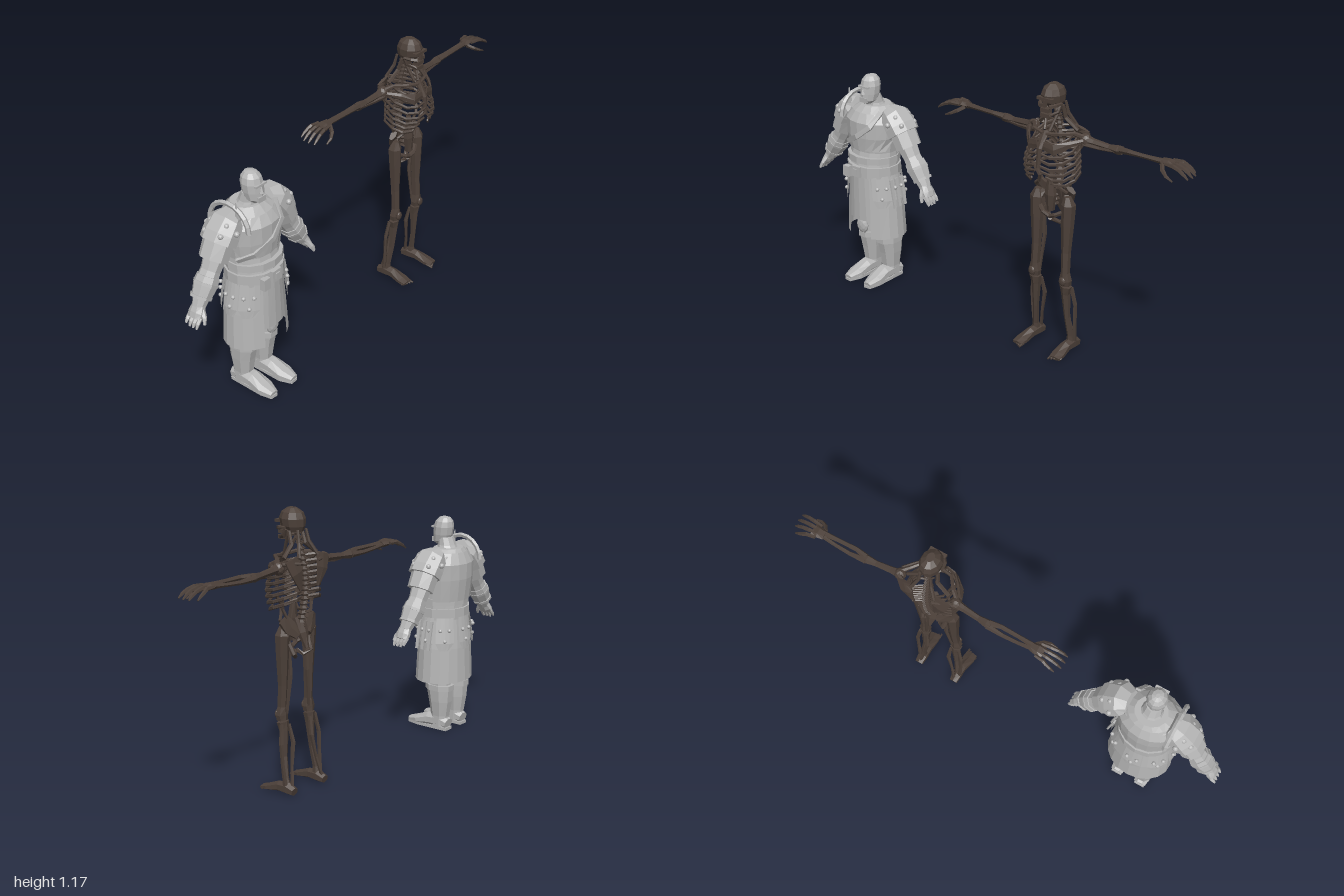
import * as THREE from 'three';

const steel = new THREE.MeshStandardMaterial({ color: 0xb6b6b6, side: THREE.DoubleSide });
steel.name = 'grey armour';
const bone = new THREE.MeshStandardMaterial({ color: 0x4c4039, side: THREE.DoubleSide });
bone.name = 'dark bone';

const UP = new THREE.Vector3(0, 1, 0), FRONT = new THREE.Vector3(0, 0, 1);

// Faceted skin over sections [x, y, z, radiusA, radiusB, inset degrees]; from/to leave it open
function sweep(secs, { n = 8, axis, ref = FRONT, from = 0, to = 360 } = {}) {
  const closed = to - from === 360, pos = [];
  const centres = secs.map(s => new THREE.Vector3(s[0], s[1], s[2]));
  const rings = secs.map((s, i) => {
    const t = axis || centres[Math.min(i + 1, secs.length - 1)].clone().sub(centres[Math.max(i - 1, 0)]).normalize();
    const b = ref.clone().addScaledVector(t, -ref.dot(t)).normalize();
    const a = b.clone().cross(t), inset = s[5] || 0, ring = [];
    for (let j = 0; j <= n; j++) {
      const deg = closed ? (j + 0.5) * 360 / n : from + inset + (to - from - 2 * inset) * j / n;
      const r = THREE.MathUtils.degToRad(deg);
      ring.push(centres[i].clone().addScaledVector(a, Math.cos(r) * s[3]).addScaledVector(b, Math.sin(r) * (s[4] ?? s[3])));
    }
    return ring;
  });
  const tri = (...v) => v.forEach(p => pos.push(p.x, p.y, p.z));
  const last = rings.length - 1;
  for (let j = 0; j < n; j++) {
    for (let i = 0; i < last; i++) {
      const [p, q] = [rings[i], rings[i + 1]];
      tri(p[j], p[j + 1], q[j + 1]);
      tri(p[j], q[j + 1], q[j]);
    }
    if (closed) {
      tri(centres[0], rings[0][j + 1], rings[0][j]);
      tri(centres[last], rings[last][j], rings[last][j + 1]);
    }
  }
  const g = new THREE.BufferGeometry();
  g.setAttribute('position', new THREE.Float32BufferAttribute(pos, 3));
  g.computeVertexNormals();
  return g;
}

// Part-adding helpers for one figure
function kit(group, material) {
  const add = (name, geo, x = 0, y = 0, z = 0) => {
    if (geo.index) geo = geo.toNonIndexed();
    geo.computeVertexNormals();
    const m = new THREE.Mesh(geo, material);
    m.name = name;
    m.position.set(x, y, z);
    group.add(m);
    return m;
  };
  return {
    add,
    limb: (name, secs, opt) => add(name, sweep(secs, opt)),
    // upright part, sections [y, z, radiusX, radiusZ, inset]
    tower: (name, rows, opt, x = 0) =>
      add(name, sweep(rows.map(([y, z, a, b, e]) => [x, y, z, a, b, e]), { axis: UP, ...opt })),
    ball: (name, x, y, z, rx, ry = rx, rz = rx) =>
      add(name, new THREE.IcosahedronGeometry(1, 1).scale(rx, ry, rz), x, y, z),
    box: (name, w, h, d, x, y, z) => add(name, new THREE.BoxGeometry(w, h, d), x, y, z),
  };
}
const flip = (s, pts) => pts.map(p => [p[0] * s, ...p.slice(1)]);

function createWarrior() {
  const group = new THREE.Group();
  group.name = 'armouredWarrior';
  const { add, limb, tower, ball, box } = kit(group, steel);

  // Head and torso
  tower('head', [[0.865, 0.02, 0.02, 0.025], [0.88, 0.015, 0.036, 0.04], [0.91, 0.008, 0.042, 0.046], [0.945, 0.004, 0.044, 0.047],
    [0.97, 0.002, 0.038, 0.042], [0.987, 0, 0.024, 0.028], [0.992, 0, 0.008, 0.01]], { n: 10 });
  tower('neck', [[0.83, -0.025, 0.06, 0.055], [0.865, -0.015, 0.042, 0.042], [0.9, -0.005, 0.036, 0.036]], { n: 10 });
  box('brow', 0.06, 0.008, 0.012, 0, 0.943, 0.048);
  add('nose', new THREE.ConeGeometry(0.011, 0.032, 4), 0, 0.925, 0.053);
  box('beard', 0.04, 0.022, 0.014, 0, 0.884, 0.05);
  tower('torso', [[0.46, -0.01, 0.12, 0.1], [0.58, -0.005, 0.12, 0.103], [0.65, -0.01, 0.118, 0.095], [0.72, -0.012, 0.128, 0.104],
    [0.78, -0.013, 0.136, 0.107], [0.825, -0.02, 0.115, 0.09], [0.855, -0.025, 0.07, 0.065]], { n: 14 });
  tower('breastplate', [[0.66, -0.012, 0.125, 0.104, 22], [0.72, -0.012, 0.134, 0.111], [0.79, -0.013, 0.138, 0.112], [0.83, -0.02, 0.115, 0.094, 12]],
    { n: 8, from: 5, to: 175 });
  tower('backplate', [[0.62, -0.012, 0.127, 0.104], [0.72, -0.014, 0.134, 0.113], [0.79, -0.015, 0.138, 0.112], [0.84, -0.022, 0.1, 0.084]],
    { n: 8, from: 190, to: 350 });
  const strap = [[0.09, 0.84, 0.035, 0.016, 0.007], [0.07, 0.78, 0.088, 0.016, 0.007], [0, 0.725, 0.103, 0.016, 0.007],
    [-0.08, 0.68, 0.078, 0.016, 0.007], [-0.12, 0.65, 0.02, 0.016, 0.007]];
  limb('chestStrap', strap, { n: 4 });
  for (const [y, h, r] of [[0.535, 0.05, 0.128], [0.6, 0.03, 0.125]])
    tower('belt', [[y, -0.003, r, r - 0.014], [y + h, -0.003, r, r - 0.014]], { n: 14 });
  box('buckle', 0.05, 0.05, 0.012, 0, 0.562, 0.112);
  box('buckleTongue', 0.022, 0.026, 0.01, 0, 0.562, 0.118);

  // Skirt, front cloth and riveted hip plates
  tower('skirt', [[0.24, -0.01, 0.147, 0.121], [0.4, -0.01, 0.138, 0.114], [0.55, -0.005, 0.122, 0.105]], { n: 16, from: 116, to: 424 });
  tower('frontCloth', [[0.32, -0.01, 0.14, 0.112], [0.55, -0.005, 0.12, 0.106]], { n: 4, from: 58, to: 122 });
  for (const a of [38, 142, 180, 360, 222, 270, 318]) {
    const wide = a % 90 ? 19 : 17;
    tower('hipPlate', [[0.395, -0.01, 0.147, 0.122, 8], [0.43, -0.01, 0.147, 0.122], [0.545, -0.005, 0.128, 0.112]],
      { n: 4, from: a - wide, to: a + wide });
    for (const [d, y] of [[-9, 0.49], [9, 0.49], [0, 0.44]]) {
      const t = THREE.MathUtils.degToRad(a + d);
      ball('hipRivet', -Math.cos(t) * 0.145, y, -0.008 + Math.sin(t) * 0.122, 0.009);
    }
  }
  box('pouch', 0.035, 0.05, 0.025, -0.06, 0.55, 0.108);
  for (const z of [-0.035, 0, 0.03]) limb('hangingStrip', [[0.135, 0.53, z, 0.006, 0.011], [0.158, 0.4, z, 0.005, 0.01]], { n: 4 });

  // Raised guard on the right shoulder
  const guard = add('shoulderGuard', new THREE.TorusGeometry(0.1, 0.011, 5, 10, Math.PI), -0.112, 0.79, -0.018);
  guard.rotation.y = Math.PI / 2;
  limb('guardSpike', [[-0.11, 0.84, 0.03, 0.012], [-0.116, 0.91, 0.025, 0.002]], { n: 4 });

  for (const s of [1, -1]) {
    // Arm, shoulder plates, bracer and hand
    limb('arm', flip(s, [[0.1, 0.82, -0.02, 0.058], [0.155, 0.76, -0.02, 0.055], [0.195, 0.695, -0.02, 0.047], [0.223, 0.648, -0.02, 0.041],
      [0.25, 0.61, -0.02, 0.044], [0.285, 0.555, -0.018, 0.034], [0.305, 0.525, -0.015, 0.027]]));
    limb('shoulderPlate', flip(s, [[0.09, 0.835, -0.02, 0.035, 0.05], [0.122, 0.82, -0.02, 0.058, 0.074], [0.155, 0.78, -0.02, 0.066, 0.079], [0.175, 0.75, -0.02, 0.068, 0.078]]));
    limb('upperArmPlate', flip(s, [[0.165, 0.765, -0.02, 0.056, 0.066], [0.205, 0.69, -0.02, 0.056, 0.062]]));
    for (const [x, y, z] of [[0.165, 0.83, 0.02], [0.2, 0.8, 0.02], [0.165, 0.83, -0.06], [0.2, 0.8, -0.06], [0.15, 0.8, 0.056], [0.15, 0.8, -0.096]])
      ball('shoulderRivet', x * s, y, z, 0.012);
    limb('bracer', flip(s, [[0.237, 0.63, -0.02, 0.047], [0.255, 0.602, -0.02, 0.05], [0.284, 0.557, -0.018, 0.04]]));
    for (const k of [0.2, 0.8]) {
      const x = 0.24 + 0.05 * k, y = 0.625 - 0.075 * k;
      limb('bracerStrap', flip(s, [[x, y, -0.02, 0.054 - 0.01 * k], [x + 0.006, y - 0.01, -0.02, 0.053 - 0.01 * k]]));
    }
    limb('palm', flip(s, [[0.3, 0.535, -0.015, 0.024, 0.028], [0.318, 0.507, -0.015, 0.022, 0.036], [0.332, 0.488, -0.015, 0.014, 0.034]]));
    for (let i = 0; i < 4; i++) {
      const z = -0.042 + i * 0.018, d = i === 0 ? 0.008 : 0;
      limb('finger', flip(s, [[0.325, 0.495, z, 0.01], [0.341, 0.475 + d / 2, z, 0.009], [0.35, 0.457 + d, z, 0.005]]), { n: 5 });
    }
    limb('thumb', flip(s, [[0.306, 0.52, 0.005, 0.012], [0.316, 0.495, 0.025, 0.01], [0.325, 0.472, 0.032, 0.006]]), { n: 5 });

    // Leg, boot and cuffs
    const x = 0.058 * s;
    tower('leg', [[0.19, -0.03, 0.045, 0.058], [0.28, -0.025, 0.046, 0.055], [0.36, -0.02, 0.052, 0.065], [0.5, -0.01, 0.056, 0.075]], {}, x);
    tower('boot', [[0.02, -0.035, 0.036, 0.044], [0.07, -0.035, 0.036, 0.046], [0.14, -0.035, 0.045, 0.058], [0.21, -0.03, 0.05, 0.068]], {}, x);
    tower('bootCuff', [[0.195, -0.03, 0.054, 0.072], [0.22, -0.03, 0.054, 0.072]], {}, x);
    tower('kneeStrap', [[0.262, -0.027, 0.051, 0.062], [0.285, -0.026, 0.051, 0.062]], {}, x);
    ball('kneePad', x, 0.255, 0.03, 0.034, 0.042, 0.016);
    limb('foot', [[x, 0.035, -0.083, 0.03, 0.025], [x, 0.045, -0.04, 0.036, 0.037], [x, 0.042, 0.02, 0.038, 0.034],
      [x * 1.05, 0.029, 0.08, 0.041, 0.02], [x * 1.08, 0.02, 0.132, 0.022, 0.012]], { ref: UP });
    limb('sole', [[x, 0.01, -0.085, 0.034, 0.01], [x, 0.01, 0.08, 0.043, 0.01], [x * 1.08, 0.01, 0.135, 0.024, 0.009]], { ref: UP, n: 4 });
  }
  return group;
}

function createSkeleton() {
  const group = new THREE.Group();
  group.name = 'skeleton';
  const { limb, tower, ball, box } = kit(group, bone);

  // Skull and jaw
  tower('cranium', [[1.078, -0.012, 0.03, 0.036], [1.1, -0.004, 0.043, 0.054], [1.13, -0.001, 0.047, 0.058], [1.155, -0.001, 0.038, 0.048], [1.172, 0, 0.016, 0.022]], { n: 10 });
  box('brow', 0.076, 0.012, 0.02, 0, 1.118, 0.05);
  box('noseBone', 0.012, 0.028, 0.014, 0, 1.1, 0.055);
  box('upperTeeth', 0.04, 0.016, 0.026, 0, 1.073, 0.046);
  box('chin', 0.042, 0.016, 0.028, 0, 1.051, 0.044);

  // Spine, sacrum and breastbone
  for (let i = 0; i < 22; i++) {
    const y = 1.085 - i * 0.02, z = -0.02 - 0.045 * Math.sin(Math.PI * i / 21), r = 0.013 + i * 0.0004;
    tower('vertebra', [[y - 0.011, z, r, r], [y, z, r * 0.75, r * 0.75], [y + 0.008, z, r, r]], { n: 6 });
    limb('spinousProcess', [[0, y, z, 0.005], [0, y - 0.008, z - 0.028, 0.003]], { n: 4 });
  }
  limb('sacrum', [[0, 0.73, -0.025, 0.034, 0.02], [0, 0.67, -0.05, 0.028, 0.018], [0, 0.61, -0.07, 0.008, 0.008]], { n: 6 });
  limb('abdominalRemnant', [[0, 0.8, 0.0, 0.012], [0, 0.7, 0.005, 0.028, 0.018], [0, 0.63, 0, 0.016]], { n: 6 });
  limb('breastbone', [[0, 0.985, 0.045, 0.022, 0.008], [0, 0.92, 0.082, 0.014, 0.008], [0, 0.84, 0.09, 0.01, 0.006]], { n: 6 });

  for (const s of [1, -1]) {
    const part = (name, pts, opt = { n: 6 }) => limb(name, flip(s, pts), opt);
    part('cheekbone', [[0.044, 1.095, 0, 0.006], [0.04, 1.094, 0.035, 0.008], [0.022, 1.088, 0.053, 0.01]], { n: 5, ref: UP });
    part('jaw', [[0.04, 1.09, 0.002, 0.006, 0.01], [0.036, 1.062, 0.014, 0.006, 0.011], [0.016, 1.05, 0.05, 0.007, 0.009]], { n: 5 });
    // Neck cords
    part('neckCord', [[0.036, 1.085, -0.015, 0.008], [0.04, 1.03, -0.03, 0.01], [0.095, 0.985, -0.04, 0.009]]);
    part('frontNeckCord', [[0.034, 1.085, -0.01, 0.007], [0.012, 0.985, 0.035, 0.007]]);
    part('backNeckCord', [[0.024, 1.09, -0.05, 0.006], [0.03, 1.04, -0.06, 0.008], [0.055, 0.985, -0.085, 0.008]]);

    // Ribs slope down toward the front
    for (let i = 0; i < 8; i++) {
      const y = 0.985 - i * 0.024, w = 0.07 + 0.045 * Math.sin(Math.min(1, (i + 1) / 6) * Math.PI / 2);
      const f = 0.05 + 0.048 * Math.sin((i + 0.6) / 8.5 * Math.PI), end = i < 6 ? 0.014 : 0.03 + (i - 6) * 0.02;
      part('rib', [[0.01, y, -0.05, 0.005, 0.007], [w * 0.55, y + 0.004, -0.078, 0.005, 0.008], [w * 0.92, y - 0.012, -0.05, 0.005, 0.008],
        [w, y - 0.03, 0, 0.005, 0.008], [w * 0.85, y - 0.045, f * 0.6, 0.005, 0.008], [w * 0.5, y - 0.046, f * 0.93, 0.005, 0.008],
        [end, y - 0.036, f, 0.004, 0.006]], { n: 5, ref: UP });
    }
    part('chestSheet', [[0.015, 0.935, 0.078, 0.02, 0.005], [0.06, 0.925, 0.072, 0.026, 0.006], [0.1, 0.945, 0.03, 0.014, 0.008], [0.135, 0.955, -0.02, 0.01]]);
    part('collarbone', [[0.008, 0.975, 0.052, 0.008], [0.06, 0.982, 0.04, 0.008], [0.1, 0.98, -0.01, 0.009], [0.13, 0.965, -0.035, 0.011]], { n: 6, ref: UP });
    part('shoulderBlade', [[0.05, 0.86, -0.088, 0.008, 0.004], [0.075, 0.93, -0.09, 0.034, 0.006], [0.09, 0.985, -0.075, 0.04, 0.007]]);
    part('shoulderBladeRidge', [[0.045, 0.965, -0.094, 0.006], [0.13, 0.97, -0.06, 0.011]]);
    part('flankCord', [[0.09, 0.83, 0.02, 0.005], [0.06, 0.82, 0.035, 0.008], [0.038, 0.785, 0.03, 0.008], [0.05, 0.75, 0.02, 0.007], [0.08, 0.725, 0, 0.006]], { n: 5 });
    part('sideCord', [[0.095, 0.83, -0.03, 0.006], [0.085, 0.78, -0.02, 0.008], [0.07, 0.74, -0.03, 0.006]], { n: 5 });

    // Pelvis
    part('hipWing', [[0.03, 0.665, -0.05, 0.02, 0.012], [0.06, 0.7, -0.035, 0.036, 0.011], [0.083, 0.735, -0.02, 0.028, 0.013]]);
    part('hipSocket', [[0.06, 0.7, -0.03, 0.018], [0.075, 0.665, -0.015, 0.026], [0.058, 0.625, -0.02, 0.012]]);
    part('sitBone', [[0.06, 0.645, -0.02, 0.011], [0.05, 0.59, -0.045, 0.011], [0.025, 0.572, -0.03, 0.009], [0.006, 0.59, -0.005, 0.01]]);
    part('pubicBone', [[0.062, 0.635, -0.005, 0.011], [0.03, 0.618, 0.012, 0.009], [0, 0.605, 0.008, 0.01]]);

    // Leg and foot
    part('thigh', [[0.076, 0.705, -0.01, 0.014], [0.08, 0.67, -0.012, 0.031, 0.03], [0.078, 0.58, -0.01, 0.028, 0.026], [0.077, 0.46, -0.008, 0.02],
      [0.079, 0.37, -0.004, 0.019], [0.08, 0.335, -0.004, 0.029, 0.022], [0.08, 0.313, -0.006, 0.025, 0.021]]);
    part('thighCord', [[0.05, 0.63, -0.02, 0.007], [0.05, 0.5, -0.026, 0.01], [0.06, 0.4, -0.022, 0.007], [0.066, 0.34, -0.018, 0.007]], { n: 5 });
    ball('kneecap', 0.08 * s, 0.335, 0.018, 0.017, 0.02, 0.009);
    part('shin', [[0.08, 0.307, -0.008, 0.029, 0.022], [0.078, 0.27, -0.012, 0.02], [0.083, 0.16, -0.018, 0.013], [0.092, 0.07, -0.032, 0.014], [0.093, 0.04, -0.036, 0.019]]);
    part('outerShinBone', [[0.1, 0.3, -0.02, 0.009], [0.114, 0.22, -0.03, 0.009], [0.112, 0.14, -0.034, 0.008], [0.106, 0.045, -0.042, 0.01]], { n: 5 });
    part('calfCord', [[0.062, 0.295, -0.026, 0.007], [0.056, 0.22, -0.042, 0.01], [0.074, 0.12, -0.05, 0.007], [0.09, 0.04, -0.066, 0.008]], { n: 5 });
    part('foot', [[0.093, 0.022, -0.08, 0.02, 0.018], [0.093, 0.03, -0.045, 0.024, 0.027], [0.094, 0.03, 0, 0.024, 0.022],
      [0.098, 0.017, 0.055, 0.032, 0.013], [0.1, 0.011, 0.085, 0.028, 0.009]], { n: 6, ref: UP });
    for (let i = 0; i < 5; i++)
      part('toe', [[0.077 + i * 0.011, 0.012, 0.07, 0.007], [0.076 + i * 0.012, 0.007, 0.1 - i * 0.006, 0.004]], { n: 5, ref: UP });

    // Arm and clawed hand
    ball('shoulderJoint', 0.13 * s, 0.953, -0.045, 0.026, 0.028, 0.026);
    part('upperArm', [[0.12, 0.955, -0.045, 0.022], [0.17, 0.951, -0.048, 0.015], [0.24, 0.946, -0.053, 0.013], [0.28, 0.945, -0.055, 0.019], [0.3, 0.946, -0.055, 0.017]]);
    part('upperArmCord', [[0.13, 0.94, -0.03, 0.01], [0.2, 0.935, -0.044, 0.009], [0.285, 0.94, -0.048, 0.007]], { n: 5 });
    part('forearmBone', [[0.29, 0.95, -0.05, 0.014], [0.34, 0.955, -0.042, 0.01], [0.42, 0.955, -0.044, 0.009], [0.495, 0.955, -0.048, 0.012]]);
    part('outerForearmBone', [[0.285, 0.944, -0.063, 0.014], [0.36, 0.943, -0.068, 0.009], [0.43, 0.947, -0.066, 0.008], [0.495, 0.952, -0.06, 0.01]]);
    part('wrist', [[0.485, 0.953, -0.054, 0.014, 0.02], [0.515, 0.955, -0.054, 0.014, 0.026], [0.54, 0.955, -0.054, 0.008, 0.028]]);
    for (let i = 0; i < 4; i++) {
      const z = -0.082 + i * 0.019, spread = (i - 1.5) * 0.006, long = i === 0 ? -0.018 : i === 2 ? 0.004 : 0;
      part('finger', [[0.515, 0.957, z, 0.007], [0.555, 0.957, z + spread * 0.5, 0.009], [0.585 + long, 0.95, z + spread, 0.008],
        [0.607 + long, 0.938, z + spread * 1.3, 0.007], [0.626 + long, 0.924, z + spread * 1.4, 0.003]], { n: 5 });
    }
    part('thumb', [[0.495, 0.948, -0.035, 0.009], [0.515, 0.934, -0.01, 0.009], [0.54, 0.921, 0.004, 0.007], [0.57, 0.908, 0.006, 0.003]], { n: 5 });
  }
  return group;
}

export function createModel() {
  const model = new THREE.Group();
  model.name = 'warriorAndSkeleton';
  const warrior = createWarrior(), skeleton = createSkeleton();
  warrior.position.x = -0.647;
  skeleton.position.x = 0.37;
  model.add(warrior, skeleton);
  return model;
}
